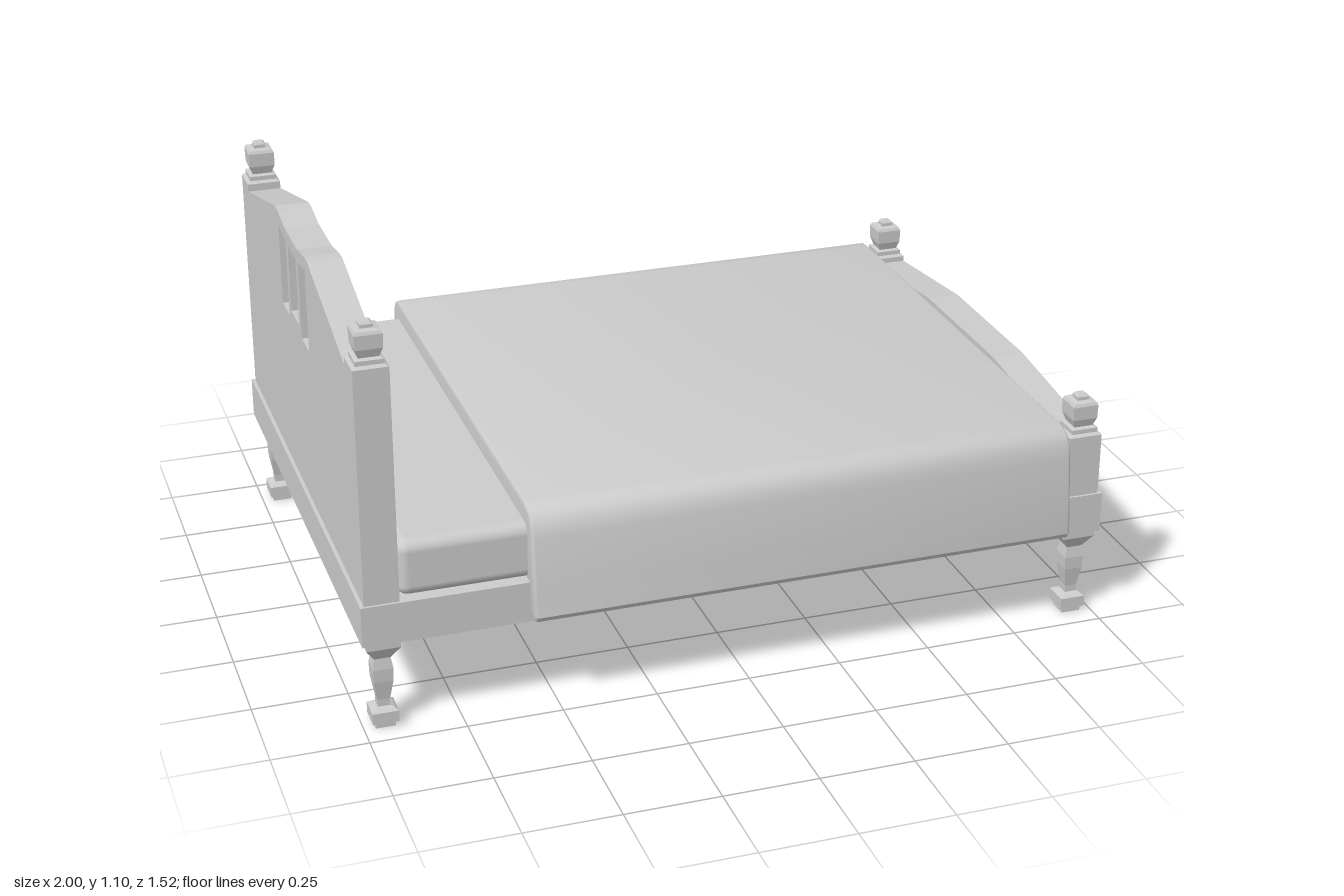
import * as THREE from 'three';
import { RoundedBoxGeometry } from 'three/addons/geometries/RoundedBoxGeometry.js';
import { toCreasedNormals } from 'three/addons/utils/BufferGeometryUtils.js';

const flat = new THREE.MeshStandardMaterial({ color: 0xcccccc, flatShading: true });
const smooth = new THREE.MeshStandardMaterial({ color: 0xcccccc });

const POST_X = 0.945, POST_Z = 0.663, POST_HALF = 0.045;

function add(parent, name, geometry, material, x = 0, y = 0, z = 0) {
  const mesh = new THREE.Mesh(geometry, material);
  mesh.name = name;
  mesh.position.set(x, y, z);
  parent.add(mesh);
  return mesh;
}

// Square turning: profile of [half width, height], lathed with four sides
function squareTurning(profile) {
  const points = profile.map(([h, y]) => new THREE.Vector2(h * Math.SQRT2, y));
  return new THREE.LatheGeometry(points, 4, Math.PI / 4);
}

// Mirrors one half of an outline given as [z, y], from the +z side to the middle
function mirrored(half) {
  return [...half, ...half.slice().reverse().map(([z, y]) => [-z, y])];
}

const toVectors = (points) => points.map(([a, b]) => new THREE.Vector2(a, b));

// Extrudes a [z, y] outline along x, from x0 to x1
function extrudeAlongX(outline, holes, x0, x1, bevel = 0) {
  const shape = new THREE.Shape(toVectors(outline));
  holes.forEach((hole) => shape.holes.push(new THREE.Path(toVectors(hole))));
  const geometry = new THREE.ExtrudeGeometry(shape, {
    depth: x1 - x0 - 2 * bevel,
    bevelEnabled: bevel > 0,
    bevelThickness: bevel,
    bevelSize: bevel,
    bevelOffset: -bevel,
    bevelSegments: 3,
  });
  geometry.translate(0, 0, x0 + bevel);
  geometry.rotateY(Math.PI / 2); // outline's first axis becomes -z, depth becomes x
  return geometry;
}

export function createModel() {
  const bed = new THREE.Group();
  bed.name = 'bed';

  // Base
  add(bed, 'frame', new THREE.BoxGeometry(2, 0.11, 1.43), flat, 0, 0.305, 0);

  // Headboard with its flush posts and three openings
  const outer = POST_Z + POST_HALF, inner = POST_Z - POST_HALF;
  const headOutline = mirrored([
    [outer, 0.36], [outer, 0.99], [inner, 0.99], [inner, 0.97],
    [0.21, 1.075], [0.17, 1.075], [0.08, 1.06],
  ]);
  const sideHole = [[0.17, 0.815], [0.17, 1.04], [0.08, 1.024], [0.08, 0.815]];
  const headHoles = [
    sideHole,
    sideHole.map(([z, y]) => [-z, y]),
    [[0.05, 0.84], [0.05, 1.024], [-0.05, 1.024], [-0.05, 0.84]],
  ];
  add(bed, 'headboard', extrudeAlongX(headOutline, headHoles, -0.99, -0.9), flat);

  // Low arched footboard with its flush posts
  const footOutline = mirrored([
    [outer, 0.36], [outer, 0.53], [inner, 0.53], [inner, 0.515], [0.22, 0.56],
  ]);
  add(bed, 'footboard', extrudeAlongX(footOutline, [], 0.9, 0.99), flat);

  // Legs and finials at the four corners
  const leg = squareTurning([
    [0, 0], [0.026, 0], [0.026, 0.014], [0.034, 0.016], [0.034, 0.046], [0.026, 0.052],
    [0.016, 0.056], [0.016, 0.075], [0.025, 0.13], [0.026, 0.165], [0.021, 0.195],
    [0.044, 0.232], [0.044, 0.255],
  ]);
  const finial = squareTurning([
    [0.045, 0], [0.036, 0.006], [0.036, 0.018], [0.026, 0.022], [0.034, 0.045],
    [0.035, 0.082], [0.031, 0.09], [0.016, 0.093], [0.016, 0.102], [0.011, 0.108], [0, 0.108],
  ]);
  for (const sx of [-1, 1]) {
    for (const sz of [-1, 1]) {
      add(bed, 'leg', leg, flat, sx * POST_X, 0, sz * POST_Z);
      add(bed, 'finial', finial, flat, sx * POST_X, sx < 0 ? 0.99 : 0.53, sz * POST_Z);
    }
  }

  // Mattress
  add(bed, 'mattress', new RoundedBoxGeometry(1.8, 0.152, 1.39, 4, 0.03), smooth, 0, 0.434, 0);

  // Blanket draped over the mattress, flaring out at the hem
  const blanketOutline = mirrored([
    [0.7, 0.27], [0.75, 0.265], [0.76, 0.28], [0.752, 0.36], [0.737, 0.49],
    [0.728, 0.525], [0.712, 0.548], [0.69, 0.559], [0.66, 0.562],
  ]);
  // Closed below by stepping up inside the frame
  blanketOutline.push([-0.7, 0.3], [0.7, 0.3]);
  const blanket = toCreasedNormals(extrudeAlongX(blanketOutline, [], -0.57, 0.89, 0.008), 0.6);
  add(bed, 'blanket', blanket, smooth);

  return bed;
}
